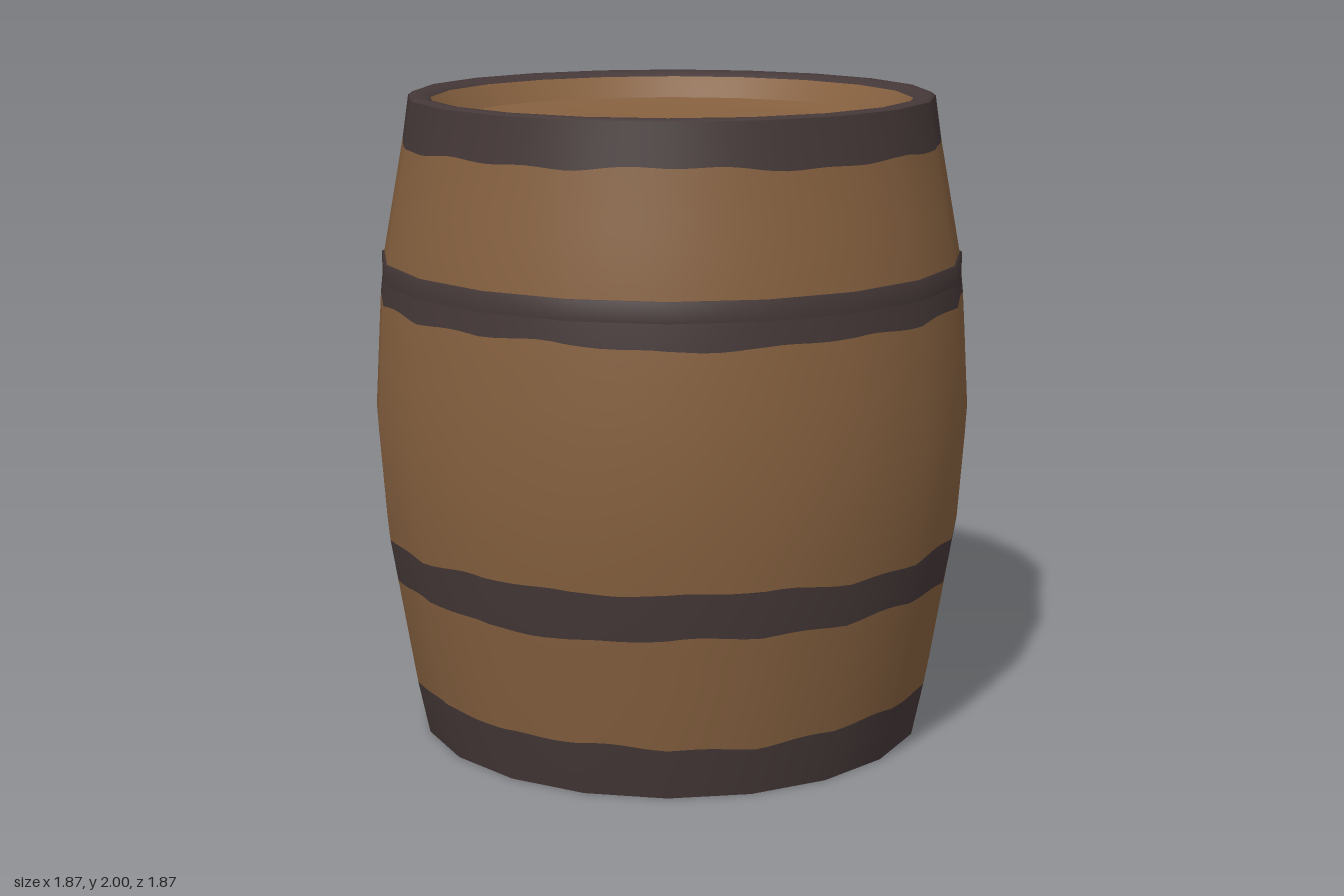
import * as THREE from 'three';

const SIDES = 20, STEPS = 120;

// Bulging stave outline: radius at each height
const outline = [
  [0, 0.8], [0.17, 0.835], [0.51, 0.89], [0.65, 0.913], [1, 0.937],
  [1.36, 0.915], [1.5, 0.9], [1.86, 0.833], [2, 0.812],
];
function radiusAt(y) {
  let i = 0;
  while (i < outline.length - 2 && y > outline[i + 1][0]) i++;
  const [y0, r0] = outline[i], [y1, r1] = outline[i + 1];
  return r0 + (r1 - r0) * (y - y0) / (y1 - y0);
}

// Uneven painted edge where a hoop meets the wood
const wobble = (a, seed) => 0.006 * Math.sin(3 * a + seed * 2.1)
  + 0.005 * Math.sin(7 * a + seed * 4.7) + 0.004 * Math.sin(17 * a + seed);

// Turns the round lathe into a faceted outline, keeping smooth normals
function facet(x, z) {
  const step = (2 * Math.PI) / SIDES;
  const a = Math.atan2(x, z) + Math.PI * 2;
  return Math.cos(step / 2) / Math.cos((a % step) - step / 2);
}

function facetGeometry(geo) {
  const p = geo.attributes.position;
  for (let i = 0; i < p.count; i++) {
    const x = p.getX(i), z = p.getZ(i), k = facet(x, z);
    p.setXYZ(i, x * k, p.getY(i), z * k);
  }
  return geo;
}

// Side band between two uneven edges; seed 0 keeps an edge straight
function band(name, y0, seed0, y1, seed1, material) {
  const rows = 8, points = [];
  for (let i = 0; i <= rows; i++) points.push(new THREE.Vector2(1, i / rows));
  const geo = new THREE.LatheGeometry(points, STEPS);
  const p = geo.attributes.position, n = geo.attributes.normal;
  for (let i = 0; i < p.count; i++) {
    const x = p.getX(i), z = p.getZ(i), t = p.getY(i), a = Math.atan2(x, z);
    const low = y0 + (seed0 ? wobble(a, seed0) : 0);
    const high = y1 + (seed1 ? wobble(a, seed1) : 0);
    const y = low + (high - low) * t;
    const r = radiusAt(y);
    p.setXYZ(i, x * r, y, z * r);
    const slope = (radiusAt(y + 0.2) - radiusAt(y - 0.2)) / 0.4;
    const len = Math.hypot(1, slope);
    n.setXYZ(i, x / len, -slope / len, z / len);
  }
  const mesh = new THREE.Mesh(facetGeometry(geo), material);
  mesh.name = name;
  return mesh;
}

// Turned part from [radius, height] pairs
function turned(name, pairs, material) {
  const geo = new THREE.LatheGeometry(pairs.map(([r, y]) => new THREE.Vector2(r, y)), STEPS);
  const mesh = new THREE.Mesh(facetGeometry(geo), material);
  mesh.name = name;
  return mesh;
}

export function createModel() {
  const wood = new THREE.MeshStandardMaterial({ name: 'brown wood', color: 0x85603f });
  const iron = new THREE.MeshStandardMaterial({ name: 'dark iron', color: 0x453838 });
  const barrel = new THREE.Group();
  barrel.name = 'barrel';

  // Alternating hoops and staves, from the floor up
  const edges = [0, 0.165, 0.51, 0.65, 1.37, 1.5, 1.855, 1.99];
  const names = ['bottomHoop', 'lowerStaves', 'lowerHoop', 'middleStaves',
    'upperHoop', 'upperStaves', 'topHoop'];
  names.forEach((name, i) => {
    const seed = (k) => (k === 0 || k === 7 || k === 5 ? 0 : k);
    barrel.add(band(name, edges[i], seed(i), edges[i + 1], seed(i + 1), i % 2 ? wood : iron));
  });

  // Small proud lip on the upper hoop
  barrel.add(turned('upperHoopLip', [[0.907, 1.44], [0.908, 1.5], [0.89, 1.503]], iron));

  // Rim, inner wall and dished lid
  barrel.add(turned('topRim', [[0.813, 1.988], [0.8, 1.998], [0.765, 1.995], [0.745, 1.98]], iron));
  barrel.add(turned('innerWall', [[0.745, 1.98], [0.715, 1.945], [0.69, 1.915]], wood));
  barrel.add(turned('lid', [[0.69, 1.915], [0.6, 1.895], [0.4, 1.875], [0.2, 1.865], [0, 1.862]], wood));

  // Recessed underside
  barrel.add(turned('bottomRim', [[0.69, 0.06], [0.72, 0.03], [0.745, 0.008], [0.775, 0], [0.8, 0]], iron));
  barrel.add(turned('base', [[0, 0.085], [0.4, 0.075], [0.69, 0.06]], iron));
  return barrel;
}
